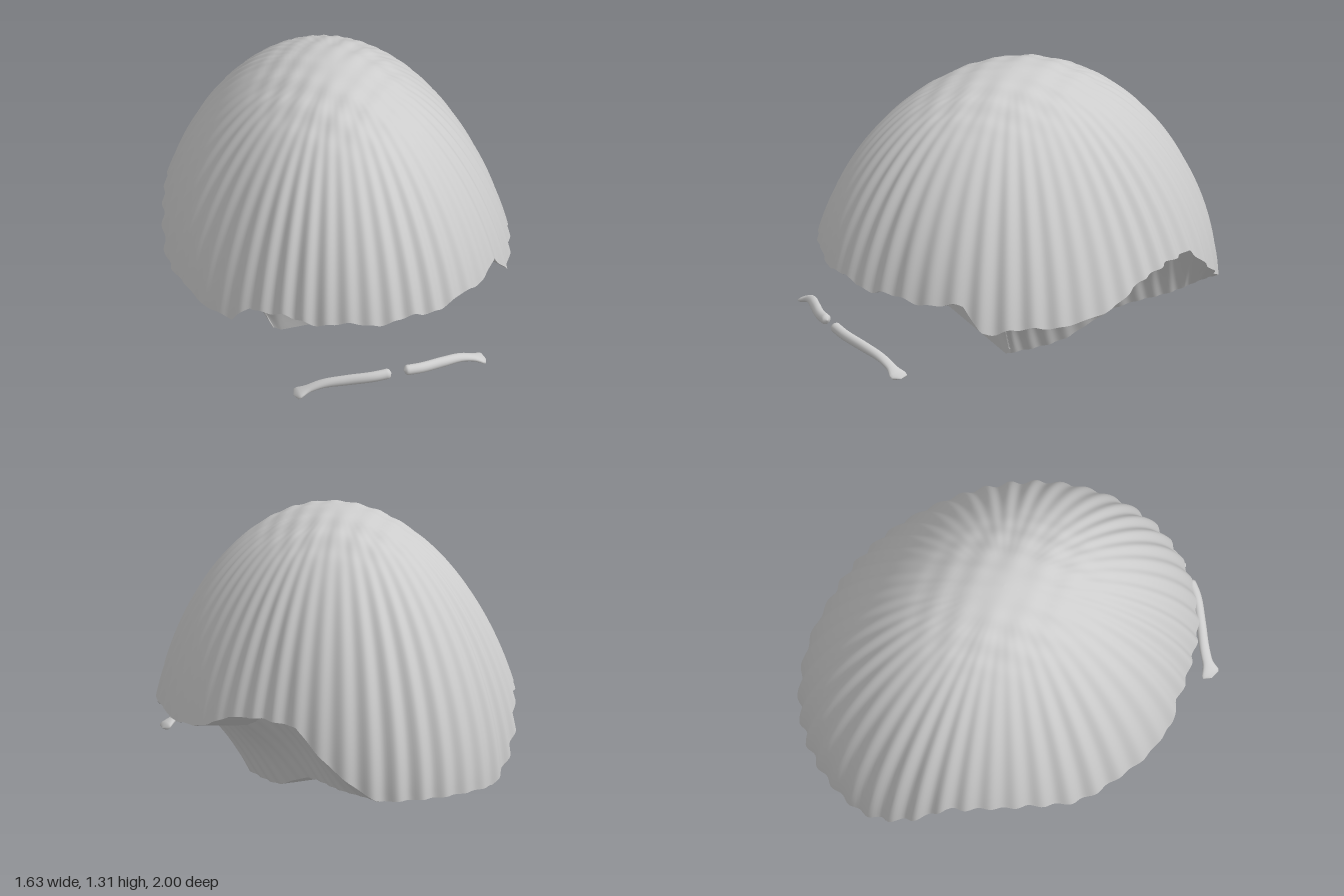
import * as THREE from 'three';

const RIBS = 46, TOP = 1.31;
const { lerp, smoothstep, clamp } = THREE.MathUtils;

// Piecewise-linear lookup in [key, value] pairs with ascending keys
function lookup(table, k) {
  if (k <= table[0][0]) return table[0][1];
  for (let i = 1; i < table.length; i++) {
    const [k0, v0] = table[i - 1], [k1, v1] = table[i];
    if (k <= k1) return lerp(v0, v1, (k - k0) / (k1 - k0));
  }
  return table[table.length - 1][1];
}

// Surface closed around u (0..2pi) and open along v (0..1)
function loft(fn, nu, nv) {
  const pos = [], index = [];
  for (let j = 0; j <= nv; j++)
    for (let i = 0; i < nu; i++) pos.push(...fn((i / nu) * Math.PI * 2, j / nv));
  for (let j = 0; j < nv; j++)
    for (let i = 0; i < nu; i++) {
      const a = j * nu + i, d = j * nu + ((i + 1) % nu);
      index.push(a, a + nu, d + nu, a, d + nu, d);
    }
  const g = new THREE.BufferGeometry();
  g.setAttribute('position', new THREE.Float32BufferAttribute(pos, 3));
  g.setIndex(index);
  g.computeVertexNormals();
  return g;
}

const mix = (p, q, s) => p.map((v, i) => lerp(v, q[i], s));
// Uneven strand ripple, about -1..1
const strand = t => Math.cos(RIBS * t + 0.9 * Math.sin(3 * t + 1)) * (0.8 + 0.2 * Math.sin(7 * t));

// Hem height from back (-1) to front (1)
const HEM = [[-0.93, 0.13], [-0.67, 0.46], [-0.5, 0.475], [-0.3, 0.45], [-0.15, 0.39], [-0.05, 0.355],
  [0.1, 0.345], [0.56, 0.345], [0.64, 0.46], [1, 0.47]];
const hemY = t => {
  const c = Math.cos(t), wave = smoothstep(c, -0.6, 0.7);
  return lookup(HEM, c) + wave * (0.012 * strand(t) + 0.01 * Math.sin(17 * t));
};

// Egg-shaped dome point at angle t and height y; fuller at front and back than at the sides
function domePoint(t, y) {
  const c = Math.cos(t), h = clamp((y - 0.13) / (TOP - 0.13), 0, 1);
  const power = lerp(1.55, c > 0 ? 2 : 1.8, c * c);
  const f = 1.05 * Math.sqrt(1 - Math.pow(h, power));
  const r = f * (1 + 0.013 * strand(t) * smoothstep(f, 0.1, 0.8));
  return [0.8 * r * Math.sin(t), y, (c > 0 ? 0.935 : 0.945) * r * c];
}
const hem = t => domePoint(t, hemY(t));

function dome(t, v) {
  const y = lerp(hemY(t), TOP, Math.cos(v * Math.PI / 2));
  const p = domePoint(t, y);
  // Tousled crown
  const crown = smoothstep(y, 1.1, 1.24) * Math.min(1, v * 6);
  p[1] += crown * 0.007 * (Math.sin(38 * p[0] + 5 * p[2]) * Math.sin(34 * p[2] + 4 * p[0]) - 0.4);
  return p;
}

// Upper and lower outlines of the inner block that narrows to the base
const BASE_Y = [[-0.45, 0.13], [-0.35, 0.122], [-0.2, 0.07], [-0.1, 0.028], [0, 0.008], [0.1, 0], [0.2, 0]];
function blockTop(t) {
  const c = Math.cos(t), s = Math.sin(t);
  if (c < -0.67) return hem(t);
  if (c > 0.6) return [0.57 * s / 0.8, lerp(0.345, 0.43, smoothstep(c, 0.6, 0.75)), lerp(0.36, 0.43, smoothstep(c, 0.6, 0.75))];
  const k = (c + 0.67) / 1.27;
  return [0.57 * Math.sign(s) + 0.005 * strand(t), lookup(HEM, c) - 0.005, lerp(-0.6, 0.36, k)];
}
function blockBottom(t) {
  const c = Math.cos(t), s = Math.sin(t);
  if (c < -0.93) return hem(t);
  // Lifted front corners
  if (c > 0.6) return [0.365 * s / 0.8, 0.02 * smoothstep(Math.abs(s), 0.7, 0.8), 0.21];
  const z = lerp(-0.92, 0.21, (c + 0.93) / 1.53);
  const x = lerp(0.31, 0.365, smoothstep(z, -0.92, -0.6)) + 0.004 * strand(t);
  return [Math.sign(s) * x, lookup(BASE_Y, z) + 0.02 * smoothstep(z, -0.15, 0.2), z];
}
function wall(t, v) {
  const p = mix(blockTop(t), blockBottom(t), v), c = Math.cos(t);
  const bow = Math.sin(v * Math.PI);
  // Hollow sides and front face
  if (c > -0.67) p[0] *= 1 - 0.045 * bow * smoothstep(c, -0.67, -0.4);
  if (c > 0.6) p[2] -= bow * (0.035 + 0.008 * Math.sin(19 * p[0] + 9 * p[1]));
  return p;
}
function base(t, v) {
  const edge = blockBottom(t), p = mix(edge, [0, 0, -0.35], v);
  const lift = edge[1] - lookup(BASE_Y, edge[2]);
  p[1] = lookup(BASE_Y, p[2]) + lift * Math.max(0, 1 - v * 6);
  return p;
}

// Eyebrow: tapered bar, flaring in depth at the outer end
const browPath = new THREE.CatmullRomCurve3([
  [0.03, 0.2, 0.97], [0.12, 0.19, 0.96], [0.24, 0.17, 0.92], [0.35, 0.145, 0.88], [0.475, 0.09, 0.85],
].map(p => new THREE.Vector3(...p)));
function brow(u, v) {
  const p = browPath.getPoint(v);
  const end = Math.sqrt(Math.min(1, v * 25, (1 - v) * 30));
  const ry = end * lerp(0.025, 0.015, smoothstep(v, 0.4, 1));
  const rz = end * lerp(0.025, 0.05, smoothstep(v, 0.85, 1));
  return [p.x, p.y + ry * Math.cos(u), p.z - rz * Math.sin(u)];
}

export function createModel() {
  const group = new THREE.Group();
  const grey = new THREE.MeshStandardMaterial({ color: 0xcccccc });
  grey.name = 'light grey';
  const add = (name, geometry) => {
    const mesh = new THREE.Mesh(geometry, grey);
    mesh.name = name;
    group.add(mesh);
    return mesh;
  };

  add('hairDome', loft(dome, 460, 48));
  add('hairUnderside', loft((t, v) => mix(hem(t), blockTop(t), v), 460, 5));
  add('innerWall', loft(wall, 460, 12));
  add('innerBase', loft(base, 460, 18));

  const browGeometry = loft(brow, 16, 40);
  add('leftEyebrow', browGeometry);
  add('rightEyebrow', browGeometry).scale.x = -1;
  return group;
}
